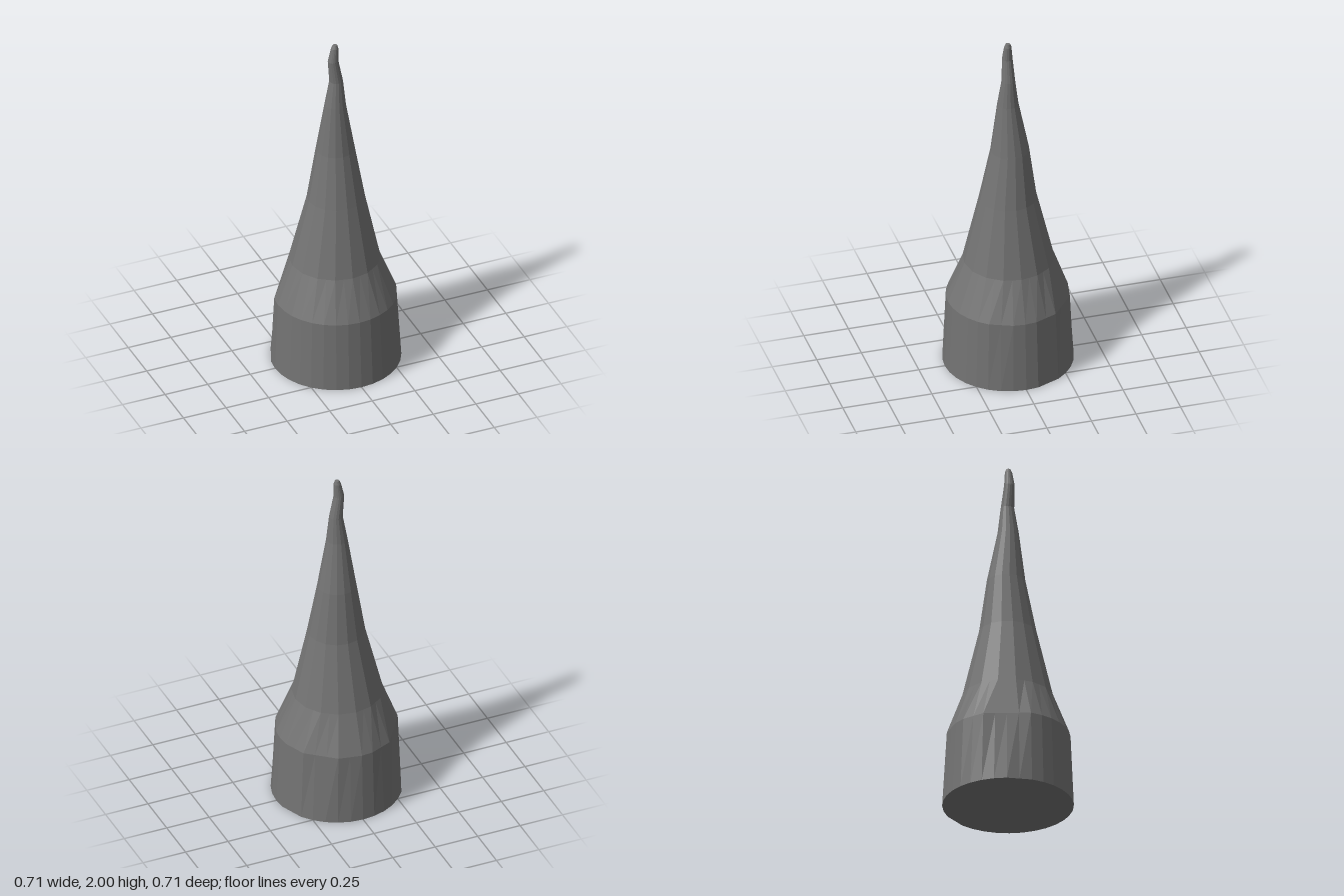
import * as THREE from 'three';

const SIDES = 32;
const ODD = Array.from({ length: SIDES / 2 }, (_, i) => i * 2 + 1);

// Rings from base to tip: height, radius, centre x, centre z, corners flattened onto a chord
const RINGS = [
  [0.005, 0.355, 0, 0, [18, 30]],
  [0.41, 0.336, -0.002, 0, [2, 18, 19, 20, 22, 25, 27, 28, 30]],
  [0.64, 0.248, -0.004, -0.004, ODD],
  [1.03, 0.157, 0.002, 0, ODD],
  [1.33, 0.106, 0.003, -0.01, ODD],
  [1.62, 0.058, -0.002, 0, ODD],
  [1.77, 0.037, 0.004, -0.001, ODD],
  [1.9, 0.029, -0.014, 0, ODD],
  [1.98, 0.02, -0.005, 0, ODD],
  [2.0, 0.012, -0.003, 0, ODD],
];

// Corners of one ring, with the listed corners moved onto the chord between their kept neighbours
function ringPoints([y, r, cx, cz, flats]) {
  const isFlat = (k) => flats.includes((k + SIDES) % SIDES);
  const corner = (k) => {
    const a = (k / SIDES) * Math.PI * 2;
    return new THREE.Vector3(cx + r * Math.cos(a), y, cz + r * Math.sin(a));
  };
  return Array.from({ length: SIDES }, (_, k) => {
    let before = k, after = k;
    while (isFlat(before)) before--;
    while (isFlat(after)) after++;
    return before === after ? corner(k) : corner(before).lerp(corner(after), (k - before) / (after - before));
  });
}

// Joins rings with faceted walls; optional caps close the bottom or top
function loft(rings, { capBottom = false, capTop = false } = {}) {
  const pos = [];
  const idx = [];
  rings.map(ringPoints).flat().forEach((p) => pos.push(p.x, p.y, p.z));
  const last = (rings.length - 1) * SIDES;
  const centre = rings.length * SIDES;
  for (const [y, , cx, cz] of [rings[0], rings[rings.length - 1]]) pos.push(cx, y, cz);
  for (let k = 0; k < SIDES; k++) {
    const n = (k + 1) % SIDES;
    for (let i = 0; i < last; i += SIDES) {
      const a = i + k, b = i + n, c = a + SIDES, d = b + SIDES;
      idx.push(a, c, b, b, c, d);
    }
    if (capBottom) idx.push(centre, k, n);
    if (capTop) idx.push(centre + 1, last + n, last + k);
  }
  const geometry = new THREE.BufferGeometry();
  geometry.setAttribute('position', new THREE.Float32BufferAttribute(pos, 3));
  geometry.setIndex(idx);
  const faceted = geometry.toNonIndexed();
  faceted.computeVertexNormals();
  return faceted;
}

export function createModel() {
  const group = new THREE.Group();
  group.name = 'spike';
  const material = new THREE.MeshStandardMaterial({ color: 0x737373, flatShading: true });

  const add = (name, from, to, caps) => {
    const mesh = new THREE.Mesh(loft(RINGS.slice(from, to + 1), caps), material);
    mesh.name = name;
    group.add(mesh);
  };

  // Broad collar, tapering horn and slightly bent tip share their joining rings
  add('baseCollar', 0, 1, { capBottom: true });
  add('taperedHorn', 1, 6);
  add('bentTip', 6, 9, { capTop: true });

  return group;
}
